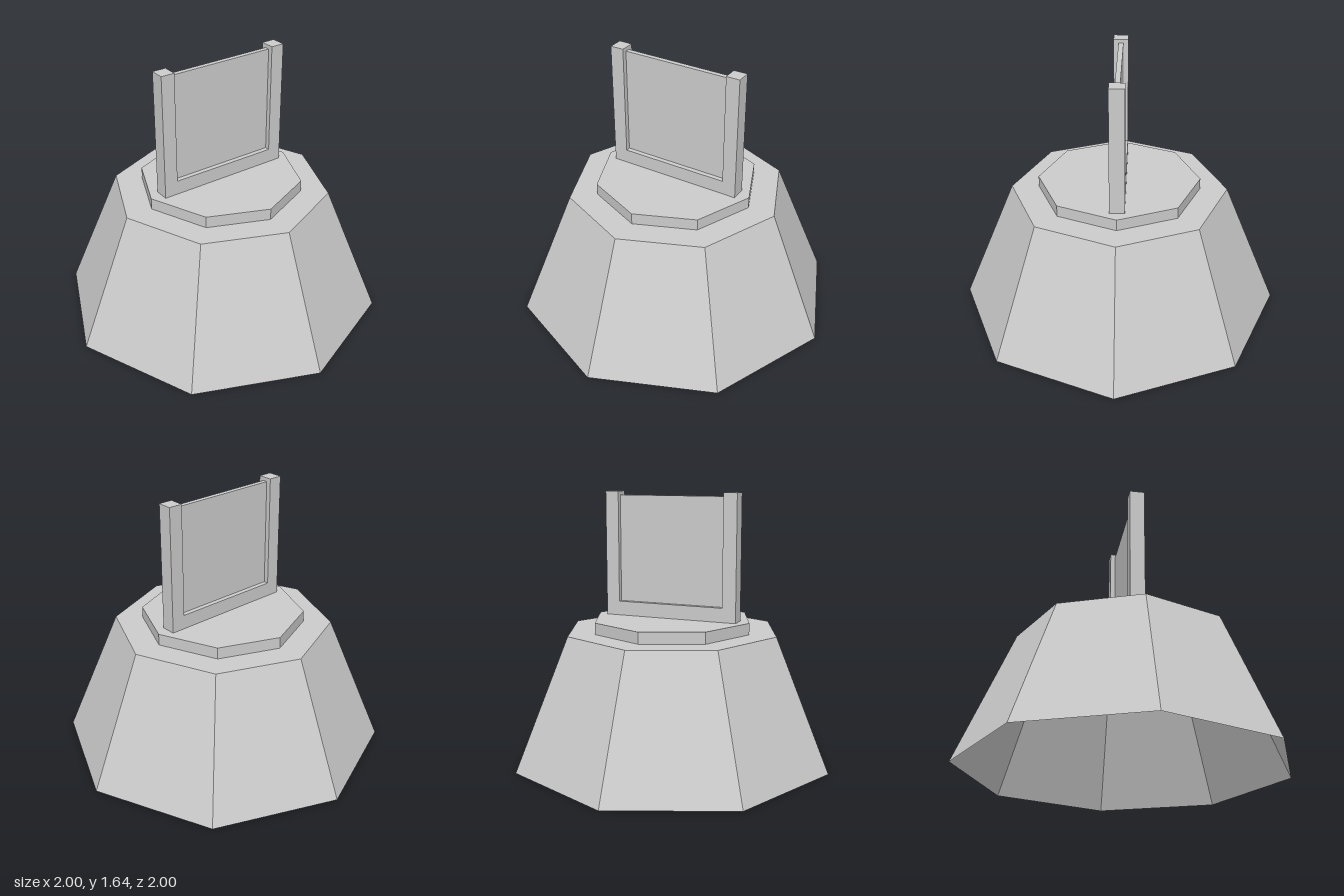
import * as THREE from 'three';

const material = (side = THREE.FrontSide) =>
  new THREE.MeshStandardMaterial({ color: 0xcccccc, flatShading: true, side });

function addPart(group, name, geometry, mat, y = 0, z = 0) {
  const mesh = new THREE.Mesh(geometry, mat);
  mesh.name = name;
  mesh.position.set(0, y, z);
  group.add(mesh);
  return mesh;
}

export function createModel() {
  const group = new THREE.Group();
  group.name = 'signOnPedestal';
  const solid = material();

  // Hollow eight-sided pedestal, open underneath, with a flat rim on top
  const profile = [[1, 0], [0.665, 0.8], [0.497, 0.8]].map(([r, y]) => new THREE.Vector2(r, y));
  addPart(group, 'pedestal', new THREE.LatheGeometry(profile, 8), material(THREE.DoubleSide));

  // Raised octagonal plate filling the rim
  addPart(group, 'topPlate', new THREE.CylinderGeometry(0.497, 0.497, 0.07, 8), solid, 0.835);

  // U-shaped frame: two posts joined by a bottom rail
  const outer = 0.425, inner = 0.34, bottom = 0.87, rail = 0.957, top = 1.636, depth = 0.09;
  const frame = new THREE.Shape([
    [-outer, bottom], [outer, bottom], [outer, top], [inner, top],
    [inner, rail], [-inner, rail], [-inner, top], [-outer, top],
  ].map(([x, y]) => new THREE.Vector2(x, y)));
  addPart(group, 'frame',
    new THREE.ExtrudeGeometry(frame, { depth, bevelEnabled: false }), solid, 0, -depth / 2);

  // Thin panel held between the posts, ending just below their tops
  const panelTop = 1.613;
  addPart(group, 'panel',
    new THREE.BoxGeometry(inner * 2, panelTop - rail, 0.03), solid, (panelTop + rail) / 2);

  return group;
}
